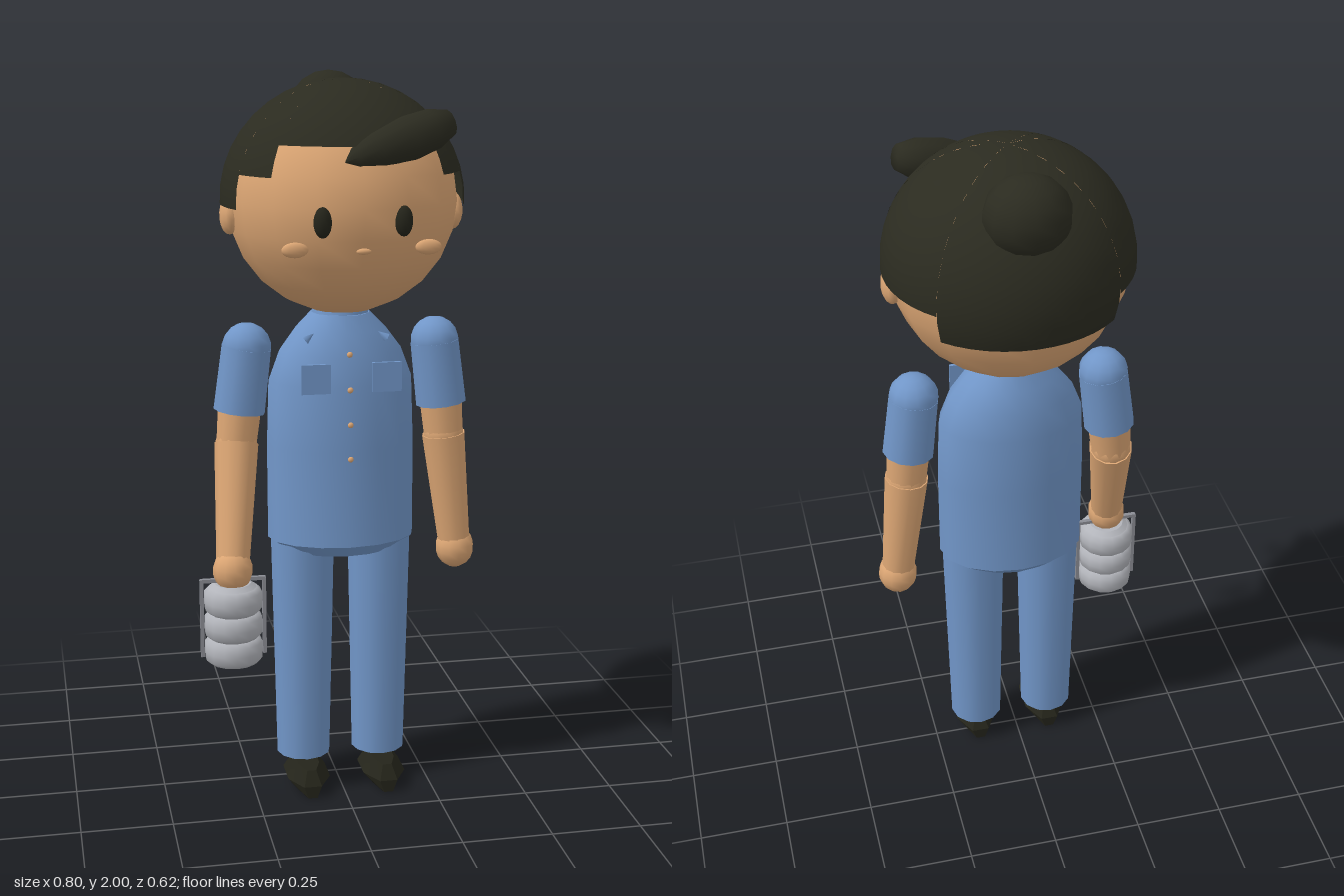
import * as THREE from 'three';
import { mergeGeometries, toCreasedNormals } from 'three/addons/utils/BufferGeometryUtils.js';

export function createModel() {
  const group = new THREE.Group();
  const material = (name, color) => {
    const m = new THREE.MeshStandardMaterial({ color });
    m.name = name;
    return m;
  };
  const skin = material('skin', 0xdca674);
  const hair = material('hair', 0x2b2b20);
  const blue = material('blue cloth', 0x7196c8);
  const shoe = material('shoe', 0x24241a);
  const metal = material('metal', 0xb2b4ba);
  const darkMetal = material('dark metal', 0x8b8d94);
  hair.side = THREE.DoubleSide;

  const add = (name, geo, mat, x = 0, y = 0, z = 0) => {
    const mesh = new THREE.Mesh(geo, mat);
    mesh.name = name;
    mesh.position.set(x, y, z);
    group.add(mesh);
    return mesh;
  };
  const ball = (name, mat, x, y, z, rx, ry = rx, rz = rx, seg = 12) => {
    const mesh = add(name, new THREE.SphereGeometry(1, seg, Math.max(8, seg * 0.75)), mat, x, y, z);
    mesh.scale.set(rx, ry, rz);
    return mesh;
  };
  // Turns a mesh whose length runs along y so that it points from a to b
  const aim = (mesh, a, b) => {
    const dir = b.clone().sub(a).normalize();
    mesh.quaternion.setFromUnitVectors(new THREE.Vector3(0, 1, 0), dir);
    return mesh;
  };
  const V = (x, y, z) => new THREE.Vector3(x, y, z);
  const limb = (name, mat, a, b, ra, rb, seg = 12) => {
    const mid = a.clone().add(b).multiplyScalar(0.5);
    const geo = new THREE.CylinderGeometry(rb, ra, a.distanceTo(b), seg);
    return aim(add(name, geo, mat, mid.x, mid.y, mid.z), a, b);
  };
  // Stacked elliptical rings [y, rx, rz, cx, cz], closed at both ends
  const loft = (rings, seg, crease, turn = 0) => {
    const pos = [], index = [];
    const all = [[rings[0][0], 0, 0, ...rings[0].slice(3)], ...rings];
    const last = rings[rings.length - 1];
    all.push([last[0], 0, 0, ...last.slice(3)]);
    all.forEach(([y, rx, rz, cx, cz], j) => {
      for (let i = 0; i < seg; i++) {
        const a = (i / seg) * Math.PI * 2 + turn;
        pos.push(cx + Math.sin(a) * rx, y, cz + Math.cos(a) * rz);
        if (j === 0) continue;
        const n = (i + 1) % seg, p = (j - 1) * seg, q = j * seg;
        if (j > 1) index.push(p + i, p + n, q + i);
        if (j < all.length - 1) index.push(p + n, q + n, q + i);
      }
    });
    const geo = new THREE.BufferGeometry();
    geo.setAttribute('position', new THREE.Float32BufferAttribute(pos, 3));
    geo.setIndex(index);
    geo.computeVertexNormals();
    return toCreasedNormals(geo, crease);
  };

  // Head and face
  const cx = 0.017, headY = 1.673;
  ball('head', skin, cx, headY, 0, 0.311, 0.31, 0.306, 16);
  for (const s of [-1, 1]) {
    ball('ear', skin, cx + s * 0.305, 1.633, 0, 0.027, 0.052, 0.045);
    ball('eye', shoe, cx + s * 0.105, 1.643, 0.283, 0.024, 0.04, 0.022);
    ball('cheek', skin, cx + s * 0.174, 1.573, 0.268, 0.035, 0.02, 0.012);
  }
  ball('mouth', skin, cx, 1.568, 0.289, 0.02, 0.008, 0.008);

  // Hair cap: sphere strips, each cut at its own height
  const strips = [];
  for (let i = 0; i < 16; i++) {
    const step = Math.PI / 8;
    let az = Math.abs((i + 0.5) * 22.5 - 90);
    if (az > 180) az = 360 - az;
    const cut = az < 45 ? 1.83 : az < 67.5 ? 1.75 : az < 135 ? 1.66 : 1.58;
    const angle = Math.acos((cut - headY) / 0.315);
    strips.push(new THREE.SphereGeometry(1, 1, 10, i * step, step, 0, angle));
  }
  add('hairCap', mergeGeometries(strips), hair, cx, headY, 0).scale.set(0.328, 0.315, 0.313);
  ball('hairBun', hair, cx, 1.895, -0.197, 0.112, 0.105, 0.1);

  // Swept fringe, pointed on one end and blunt on the other
  const tip = V(-0.03, 1.79, 0.27), end = V(0.26, 1.882, 0.2);
  const len = tip.distanceTo(end);
  const profile = [[0, 0], [0.03, 0.1], [0.047, 0.3], [0.06, 0.6], [0.055, 0.82], [0.034, 1], [0, 1]];
  const fringe = new THREE.LatheGeometry(profile.map(([r, t]) => new THREE.Vector2(r, t * len)), 10);
  aim(add('fringe', fringe, hair, tip.x, tip.y, tip.z), tip, end);

  // Shirt
  add('neck', new THREE.CylinderGeometry(0.065, 0.065, 0.1, 12), skin, 0.012, 1.39, 0);
  add('collar', new THREE.CylinderGeometry(0.075, 0.085, 0.05, 12), blue, 0.012, 1.36, 0);
  add('shirt', loft([
    [0.7, 0.155, 0.11, 0.012, 0.01],
    [0.735, 0.206, 0.142, 0.012, 0.01],
    [1.0, 0.206, 0.138, 0.012, 0.005],
    [1.18, 0.2, 0.135, 0.012, 0.003],
    [1.26, 0.17, 0.122, 0.012, 0],
    [1.32, 0.125, 0.105, 0.012, 0],
    [1.365, 0.08, 0.085, 0.012, 0],
  ], 16, 0.7), blue);
  for (const s of [-1, 1]) {
    add('pocket', new THREE.BoxGeometry(0.08, 0.08, 0.009), blue, 0.011 + s * 0.096, 1.213, 0.165);
    const point = add('collarPoint', new THREE.ConeGeometry(0.012, 0.03, 4), blue, 0.012 + s * 0.1, 1.312, 0.085);
    point.rotation.z = s * 0.9;
  }
  [1.27, 1.175, 1.08, 0.985].forEach((y, i) =>
    ball('button', skin, 0.012, y, [0.136, 0.146, 0.151, 0.153][i], 0.008, 0.008, 0.006, 8));

  // Arms: domed sleeve, bare elbow, forearm and hand
  const arms = [
    { shoulder: V(-0.248, 1.275, 0.008), cuff: V(-0.27, 1.1, 0.008), elbow: V(-0.28, 1.01, 0.015), hand: V(-0.31, 0.685, 0.13) },
    { shoulder: V(0.276, 1.275, 0.008), cuff: V(0.297, 1.1, 0.008), elbow: V(0.305, 1.01, 0.01), hand: V(0.343, 0.675, 0.01) },
  ];
  for (const { shoulder, cuff, elbow, hand } of arms) {
    ball('sleeveTop', blue, shoulder.x, shoulder.y, shoulder.z, 0.068);
    limb('sleeve', blue, shoulder, cuff, 0.068, 0.071);
    limb('upperArm', skin, cuff, elbow, 0.06, 0.056);
    ball('elbow', skin, elbow.x, elbow.y, elbow.z, 0.058);
    limb('forearm', skin, elbow, hand, 0.061, 0.045);
    ball('hand', skin, hand.x, hand.y, hand.z, 0.055, 0.06, 0.055);
  }

  // Trousers and shoes
  for (const s of [-1, 1]) {
    const x = 0.012 + s * 0.109, z = 0.012;
    limb('thigh', blue, V(x, 0.42, z), V(x, 0.76, z), 0.083, 0.09);
    limb('shin', blue, V(x, 0.087, z), V(x, 0.425, z), 0.076, 0.083);
    limb('ankle', skin, V(x, 0.06, z), V(x, 0.1, z), 0.025, 0.025, 8);
    add('shoe', loft([
      [0.005, 0.034, 0.117, x, 0.06],
      [0.04, 0.065, 0.119, x, 0.06],
      [0.08, 0.033, 0.094, x, 0.06],
    ], 8, 0.4, Math.PI / 8), shoe);
  }

  // Stacked metal lunch carrier held in the right hand
  const bx = -0.31, bz = 0.125;
  const tier = [[0, 0], [0.066, 0], [0.079, 0.012], [0.08, 0.035], [0.079, 0.06], [0.066, 0.072], [0, 0.072]]
    .map(([r, y]) => new THREE.Vector2(r, y));
  for (let i = 0; i < 3; i++) {
    add('carrierTier', toCreasedNormals(new THREE.LatheGeometry(tier, 14), 0.9), metal, bx, 0.42 + i * 0.072, bz);
  }
  add('carrierLid', new THREE.CylinderGeometry(0.05, 0.066, 0.012, 14), metal, bx, 0.641, bz);
  for (const s of [-1, 1]) {
    add('carrierRod', new THREE.BoxGeometry(0.01, 0.22, 0.012), darkMetal, bx + s * 0.086, 0.548, bz);
  }
  add('carrierHandle', new THREE.BoxGeometry(0.18, 0.01, 0.012), darkMetal, bx, 0.656, bz);

  return group;
}
